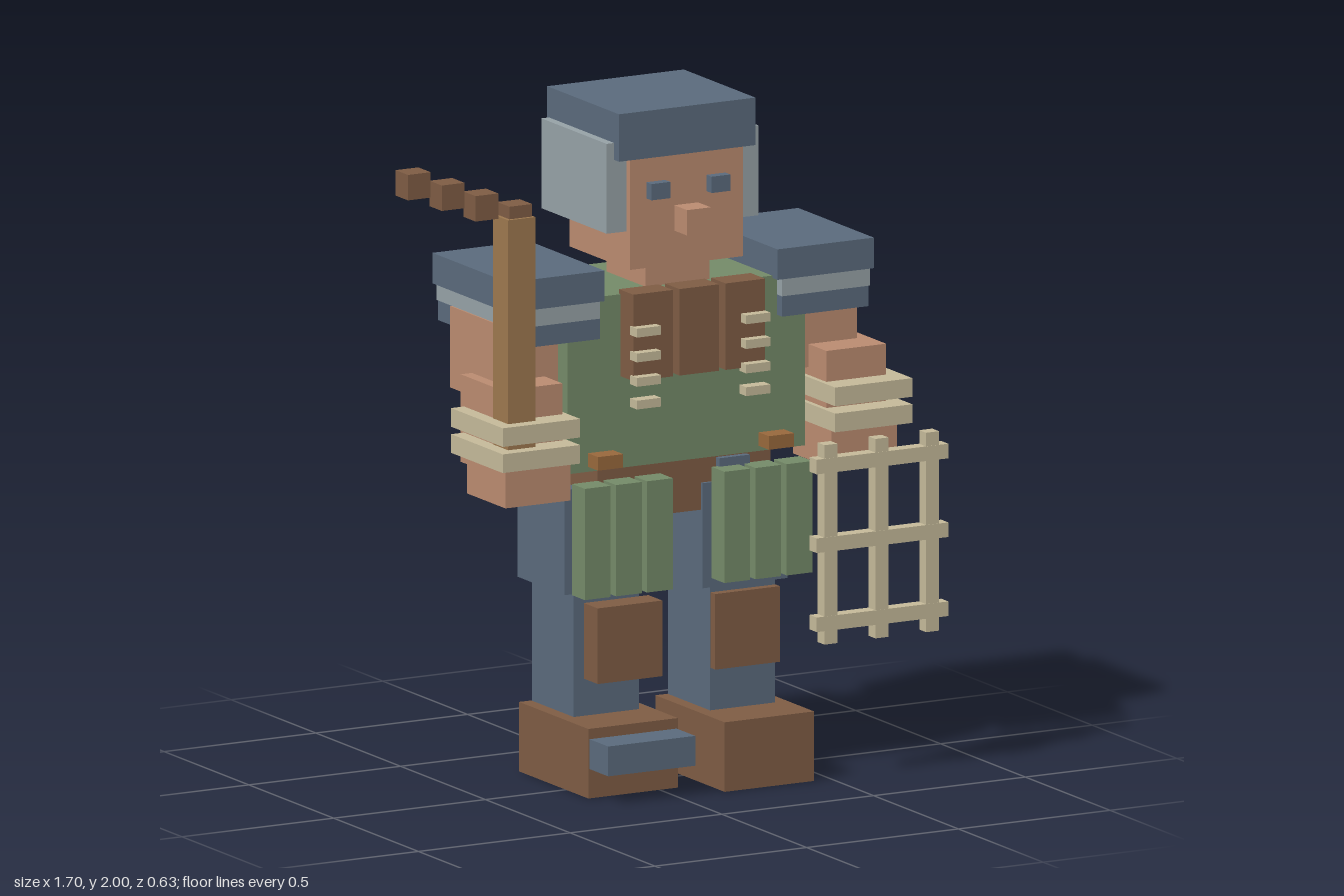
import * as THREE from 'three';

const mat = (name, color) => {
  const m = new THREE.MeshStandardMaterial({ color });
  m.name = name;
  return m;
};

export function createModel() {
  const blue = mat('slateBlue', 0x5a6a7c);
  const grey = mat('steelGrey', 0x96a1a6);
  const skin = mat('skin', 0xba8b70);
  const green = mat('green', 0x748a68);
  const brown = mat('leatherBrown', 0x7e5c44);
  const bone = mat('bone', 0xc4b999);
  const wood = mat('wood', 0x9d784f);
  const tan = mat('buckleTan', 0x98683c);

  const model = new THREE.Group();
  model.name = 'figure';

  // Box given by its limits on each axis
  const box = (name, m, [x0, x1], [y0, y1], [z0, z1]) => {
    const mesh = new THREE.Mesh(new THREE.BoxGeometry(x1 - x0, y1 - y0, z1 - z0), m);
    mesh.position.set((x0 + x1) / 2, (y0 + y1) / 2, (z0 + z1) / 2);
    mesh.name = name;
    model.add(mesh);
  };

  // The body's middle plane lies at x = 0.105
  const mid = 0.105;
  const pair = (name, m, [x0, x1], y, z, shift = 0) => {
    box('left' + name, m, [x0, x1], y, z);
    box('right' + name, m, [2 * mid - x1, 2 * mid - x0], y, [z[0] - shift, z[1] - shift]);
  };

  // Head and helmet
  box('helmet', blue, [-0.12, 0.33], [1.86, 2.0], [-0.315, 0.108]);
  box('head', skin, [-0.08, 0.293], [1.535, 1.9], [-0.255, 0.1]);
  box('neck', skin, [0, 0.21], [1.44, 1.535], [-0.18, 0.05]);
  box('nose', skin, [0.067, 0.145], [1.635, 1.71], [0.1, 0.175]);
  pair('CheekGuard', grey, [0.29, 0.355], [1.645, 1.91], [-0.305, 0.08]);
  pair('Eye', blue, [0.173, 0.235], [1.74, 1.788], [0.09, 0.13]);

  // Torso, chest panels and fasteners
  box('torso', green, [-0.285, 0.497], [0.955, 1.467], [-0.287, 0.1]);
  box('hips', brown, [-0.18, 0.39], [0.8, 0.955], [-0.28, 0.09]);
  [-0.11, 0.042, 0.194].forEach((x) => box('chestPanel', brown, [x, x + 0.13], [1.225, 1.48], [0.09, 0.175]));
  [1.36, 1.287, 1.215, 1.148].forEach((y) => pair('Fastener', bone, [0.245, 0.325], [y, y + 0.026], [0.165, 0.205]));
  pair('Buckle', tan, [0.345, 0.428], [0.97, 1.01], [0.09, 0.16]);

  // Hanging skirt flaps
  [0.19, 0.292, 0.395].forEach((x) => pair('Flap', green, [x, x + 0.085], [0.597, 0.925], [0.1, 0.175]));

  // Shoulder armour
  pair('ShoulderTop', blue, [0.39, 0.708], [1.46, 1.55], [-0.316, 0.13]);
  pair('ShoulderBand', grey, [0.405, 0.695], [1.41, 1.46], [-0.314, 0.13]);
  pair('ShoulderRim', blue, [0.405, 0.69], [1.35, 1.41], [-0.314, 0.13]);

  // Arms
  pair('UpperArm', skin, [0.49, 0.7], [1.17, 1.41], [-0.225, 0.045]);
  pair('Forearm', skin, [0.54, 0.737], [0.98, 1.238], [-0.097, 0.15]);
  pair('Hand', skin, [0.535, 0.75], [0.9, 1.05], [-0.037, 0.19]);
  [1.015, 1.092].forEach((y) => pair('Cuff', bone, [0.525, 0.78], [y, y + 0.055], [-0.077, 0.228]));

  // Legs: the right one steps back
  const step = 0.115;
  pair('Thigh', blue, [0.16, 0.44], [0.57, 0.88], [-0.18, 0.1], step);
  pair('Shin', blue, [0.19, 0.405], [0.2, 0.57], [-0.157, 0.09], step);
  pair('Boot', brown, [0.15, 0.445], [0, 0.205], [-0.16, 0.248], step);
  pair('ShinGuard', brown, [0.192, 0.405], [0.33, 0.553], [0.035, 0.117]);
  box('hipStrap', blue, [0.21, 0.31], [0.86, 0.95], [0.0, 0.11]);
  box('rightToePlate', blue, [-0.232, 0.055], [0.087, 0.175], [0.135, 0.245]);

  // Flail: handle and chain of cubes
  box('flailHandle', wood, [-0.53, -0.44], [1.0, 1.748], [0.1, 0.188]);
  for (let i = 0; i < 4; i++) {
    const x = -0.52 - i * 0.1115, y = 1.71 + i * 0.0435;
    box('chainLink', brown, [x, x + 0.075], [y, y + 0.075], [0.105, 0.178]);
  }

  // Lattice shield
  [0.442, 0.61, 0.777].forEach((x) => box('latticeUpright', bone, [x, x + 0.043], [0.415, 1.003], [0.274, 0.314]));
  [0.455, 0.688, 0.92].forEach((y) => box('latticeBar', bone, [0.416, 0.85], [y, y + 0.043], [0.273, 0.315]));

  return model;
}
